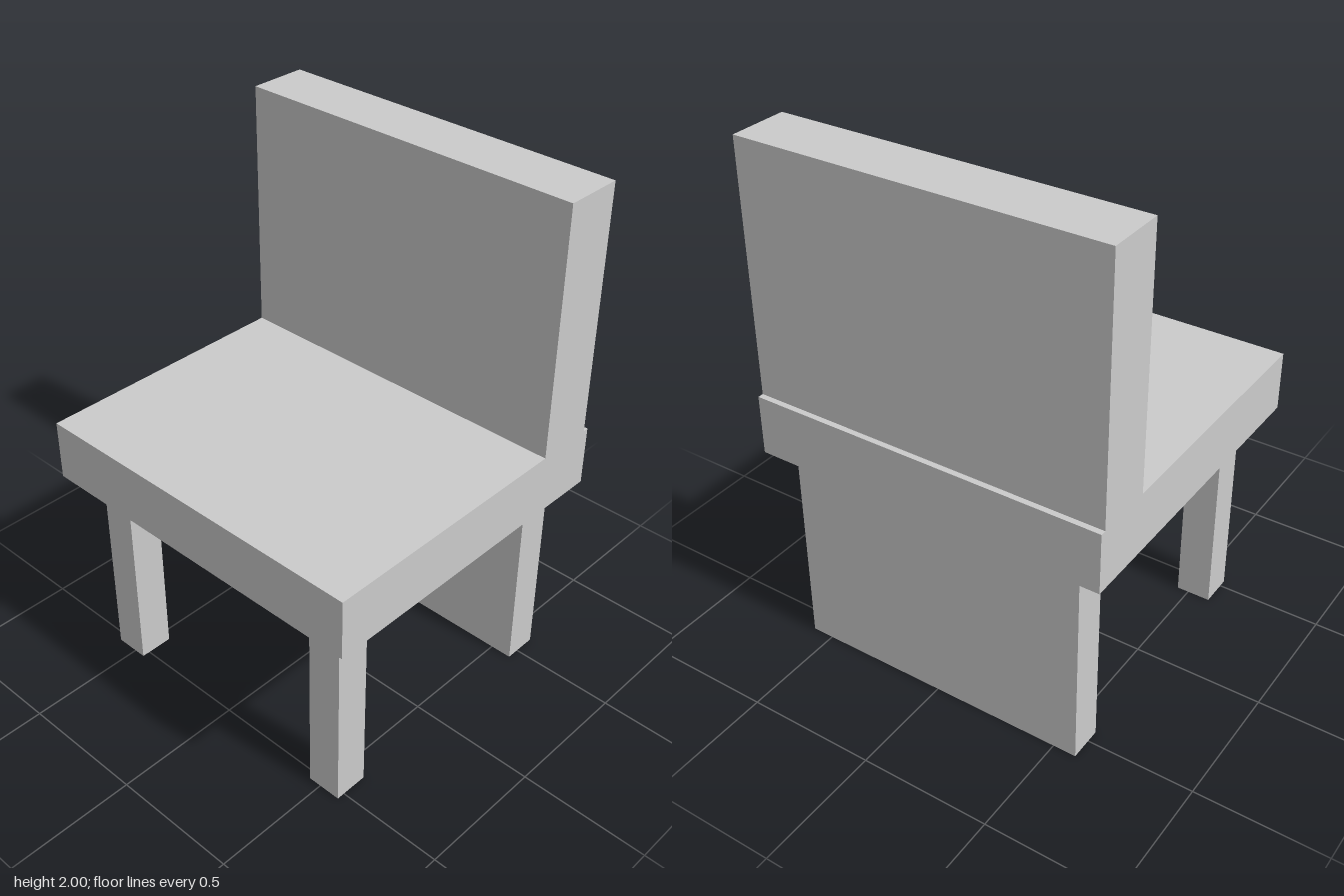
import * as THREE from 'three';

export function createModel() {
  const group = new THREE.Group();
  const material = new THREE.MeshStandardMaterial({ color: 0xcccccc, flatShading: true });

  // Box given by its lower and upper limits on each axis
  const addBox = (name, [x0, x1], [y0, y1], [z0, z1]) => {
    const mesh = new THREE.Mesh(new THREE.BoxGeometry(x1 - x0, y1 - y0, z1 - z0), material);
    mesh.position.set((x0 + x1) / 2, (y0 + y1) / 2, (z0 + z1) / 2);
    mesh.name = name;
    group.add(mesh);
  };

  const width = [-0.692, 0.692];
  const seatBottom = 0.81, seatTop = 1.042;

  // Seat slab and upright back
  addBox('seat', width, [seatBottom, seatTop], [-0.635, 0.635]);
  addBox('backrest', width, [seatTop, 2], [-0.613, -0.386]);

  // Two square front legs and one full-width rear panel
  addBox('frontLegRight', [-0.589, -0.454], [0, seatBottom], [0.397, 0.531]);
  addBox('frontLegLeft', [0.45, 0.585], [0, seatBottom], [0.397, 0.531]);
  addBox('rearLegPanel', [-0.589, 0.585], [0, seatBottom], [-0.585, -0.45]);

  return group;
}
